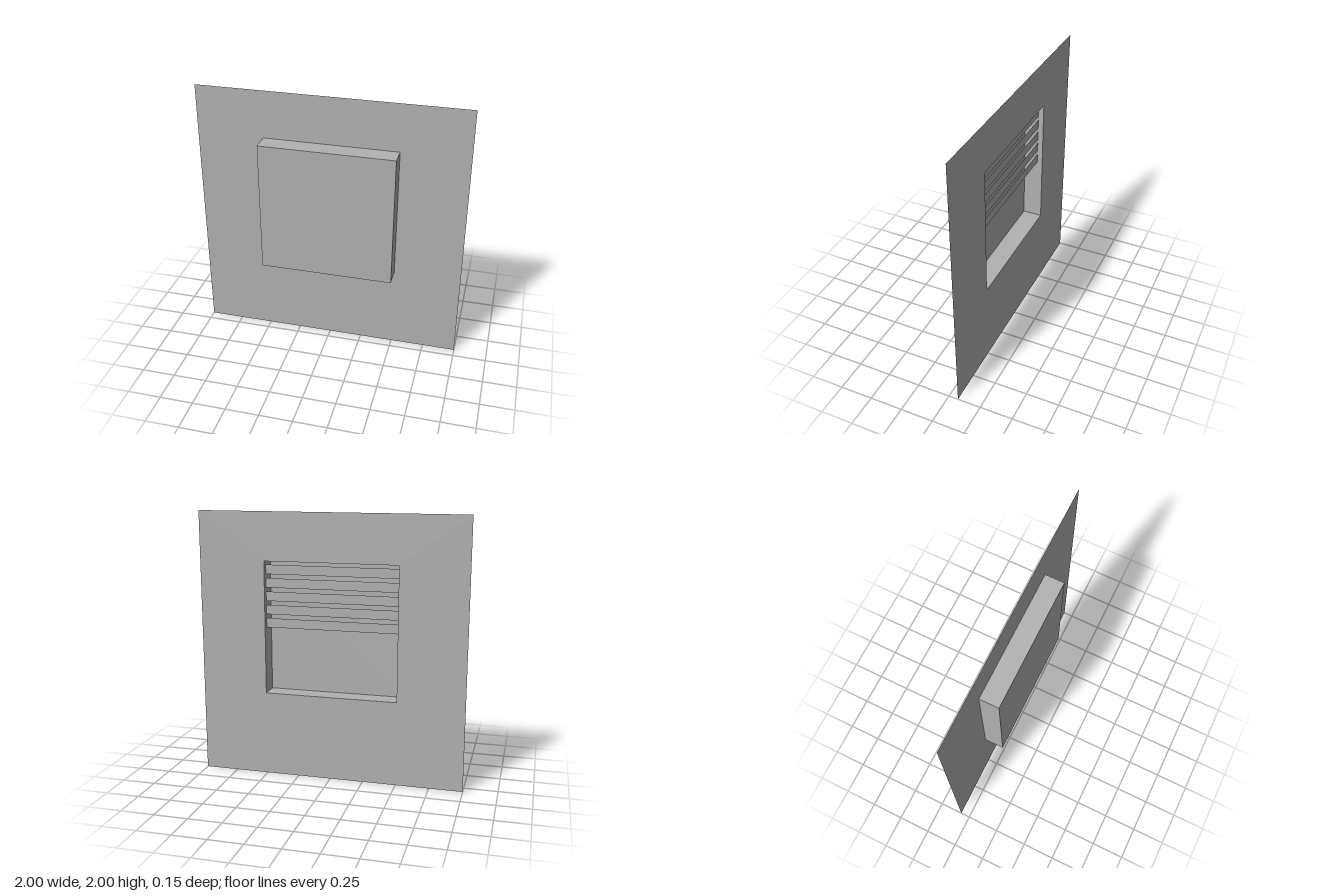
import * as THREE from 'three';

export function createModel() {
  const model = new THREE.Group();
  const grey = new THREE.MeshStandardMaterial({ color: 0xb2b2b2, side: THREE.DoubleSide });
  grey.name = 'plain grey';

  const half = 0.5, bottom = 0.64, top = 1.64, middle = (bottom + top) / 2;
  const depth = 0.146, back = -depth / 2, front = depth / 2;

  function add(name, geometry, x, y, z) {
    const mesh = new THREE.Mesh(geometry, grey);
    mesh.name = name;
    mesh.position.set(x, y, z);
    model.add(mesh);
    return mesh;
  }

  // Thin square wall with a square opening
  const wall = new THREE.Shape([
    new THREE.Vector2(-1, 0), new THREE.Vector2(1, 0),
    new THREE.Vector2(1, 2), new THREE.Vector2(-1, 2),
  ]);
  wall.holes.push(new THREE.Path([
    new THREE.Vector2(-half, bottom), new THREE.Vector2(-half, top),
    new THREE.Vector2(half, top), new THREE.Vector2(half, bottom),
  ]));
  add('wall', new THREE.ShapeGeometry(wall), 0, 0, back);

  // Shallow recess: closed at the front, open at the back
  add('recessPanel', new THREE.PlaneGeometry(1, 1), 0, middle, front);
  for (const [name, side] of [['leftRecessSide', 1], ['rightRecessSide', -1]]) {
    add(name, new THREE.PlaneGeometry(depth, 1), side * half, middle, 0).rotation.y = side * Math.PI / 2;
  }
  add('recessTop', new THREE.PlaneGeometry(1, depth), 0, top, 0).rotation.x = -Math.PI / 2;
  add('recessSill', new THREE.PlaneGeometry(1, depth), 0, bottom, 0).rotation.x = Math.PI / 2;

  // Five flat blind slats across the upper half of the opening
  const slatHeight = 0.07, pitch = 0.1;
  for (let i = 0; i < 5; i++) {
    const y = top - (i + 1) * pitch + slatHeight / 2;
    add('blindSlat' + (i + 1), new THREE.PlaneGeometry(1, slatHeight), 0, y, back + 0.04).rotation.y = Math.PI;
  }

  return model;
}
